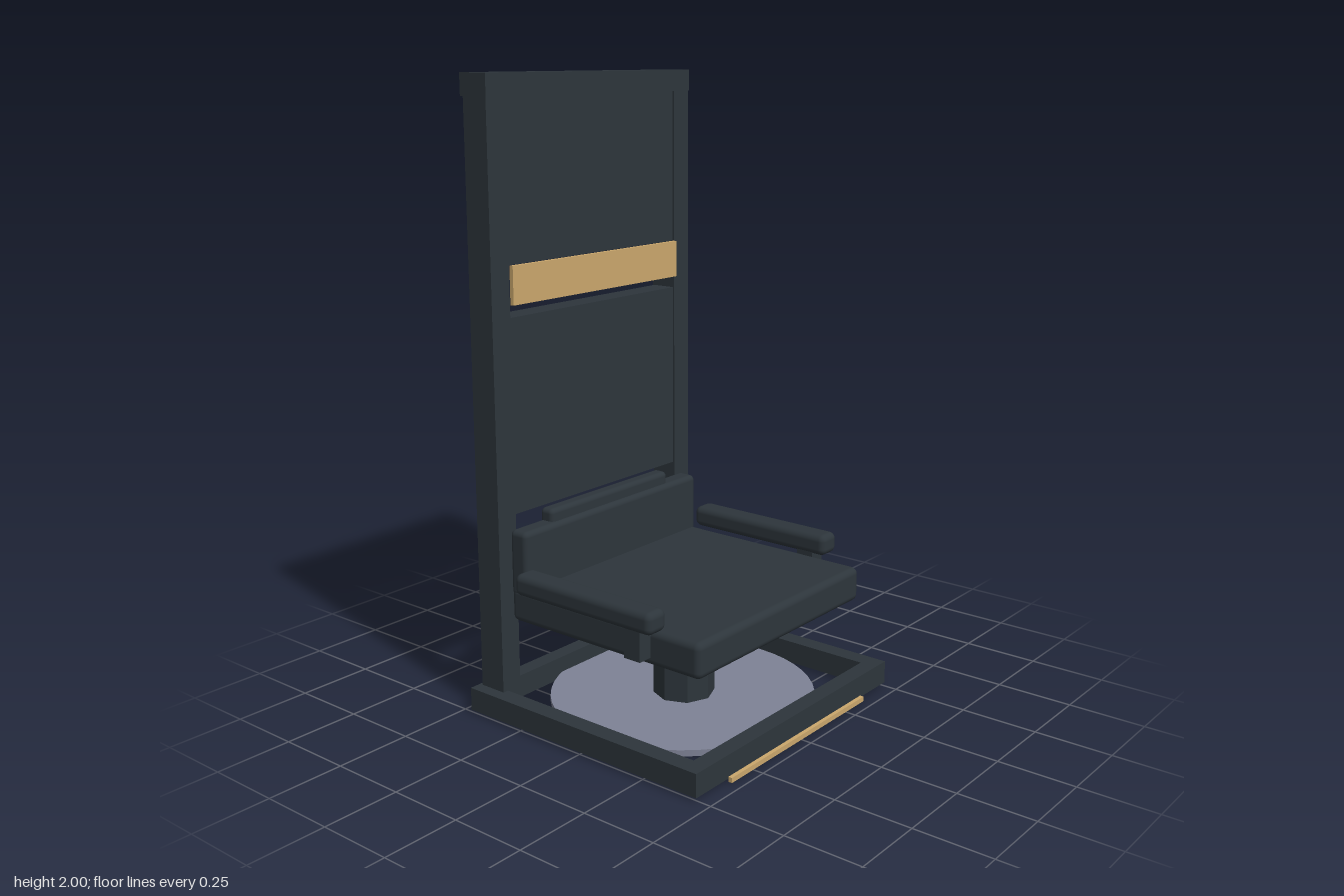
import * as THREE from 'three';
import { RoundedBoxGeometry } from 'three/addons/geometries/RoundedBoxGeometry.js';

export function createModel() {
  const model = new THREE.Group();
  model.name = 'towerSeat';

  const material = (name, color) => {
    const m = new THREE.MeshStandardMaterial({ color });
    m.name = name;
    return m;
  };
  const dark = material('darkSlate', 0x2d353b);
  const gold = material('paleGold', 0xcaa76c);
  const grey = material('blueGrey', 0x7e8295);

  const add = (name, geometry, mat, x, y, z) => {
    const mesh = new THREE.Mesh(geometry, mat);
    mesh.name = name;
    mesh.position.set(x, y, z);
    model.add(mesh);
    return mesh;
  };
  // Boxes are given by their limits; a radius rounds the edges
  const box = (name, mat, [x0, x1], [y0, y1], [z0, z1], radius = 0) => {
    const size = [x1 - x0, y1 - y0, z1 - z0];
    const geometry = radius
      ? new RoundedBoxGeometry(...size, 3, radius)
      : new THREE.BoxGeometry(...size);
    return add(name, geometry, mat, (x0 + x1) / 2, (y0 + y1) / 2, (z0 + z1) / 2);
  };

  // Floor frame
  const floorY = [0.01, 0.085];
  box('frontFloorBar', dark, [-0.505, 0.505], floorY, [0.395, 0.452]);
  box('backFloorBar', dark, [-0.505, 0.505], floorY, [-0.465, -0.41]);
  box('frontTrim', gold, [-0.355, 0.355], [0, 0.016], [0.452, 0.465]);

  // Round floor plate and octagonal seat column
  add('floorDisc', new THREE.CylinderGeometry(0.43, 0.43, 0.02, 48), grey, 0, 0.022, -0.005);
  const column = new THREE.CylinderGeometry(0.1, 0.1, 0.29, 8).toNonIndexed();
  column.computeVertexNormals();
  add('seatColumn', column, dark, 0, 0.175, 0);

  // Tower: top beam, panels and the sign board across the slot
  box('topBeam', dark, [-0.467, 0.467], [1.932, 2], [-0.463, -0.355]);
  const panelZ = [-0.446, -0.364];
  box('upperPanel', dark, [-0.392, 0.392], [1.435, 1.935], panelZ);
  box('lowerPanel', dark, [-0.392, 0.392], [0.655, 1.275], panelZ);
  box('signBoard', gold, [-0.387, 0.387], [1.315, 1.435], [-0.359, -0.345]);

  // Seat cushions
  box('seat', dark, [-0.42, 0.42], [0.315, 0.428], [-0.358, 0.395], 0.022);
  box('backrest', dark, [-0.42, 0.42], [0.4, 0.615], [-0.358, -0.287], 0.018);
  box('headCushion', dark, [-0.285, 0.285], [0.56, 0.655], [-0.357, -0.303], 0.016);

  // Parts on both sides
  for (const [side, s] of [['left', 1], ['right', -1]]) {
    const span = (a, b) => (s > 0 ? [a, b] : [-b, -a]);
    box(side + 'FloorBar', dark, span(0.445, 0.505), floorY, [-0.41, 0.395]);
    box(side + 'Post', dark, span(0.39, 0.465), [0.085, 1.932], [-0.453, -0.358]);
    box(side + 'Armrest', dark, span(0.403, 0.484), [0.435, 0.505], [-0.28, 0.265], 0.022);
    box(side + 'ArmSupport', dark, span(0.41, 0.469), [0.343, 0.445], [0.155, 0.215]);
  }
  return model;
}
